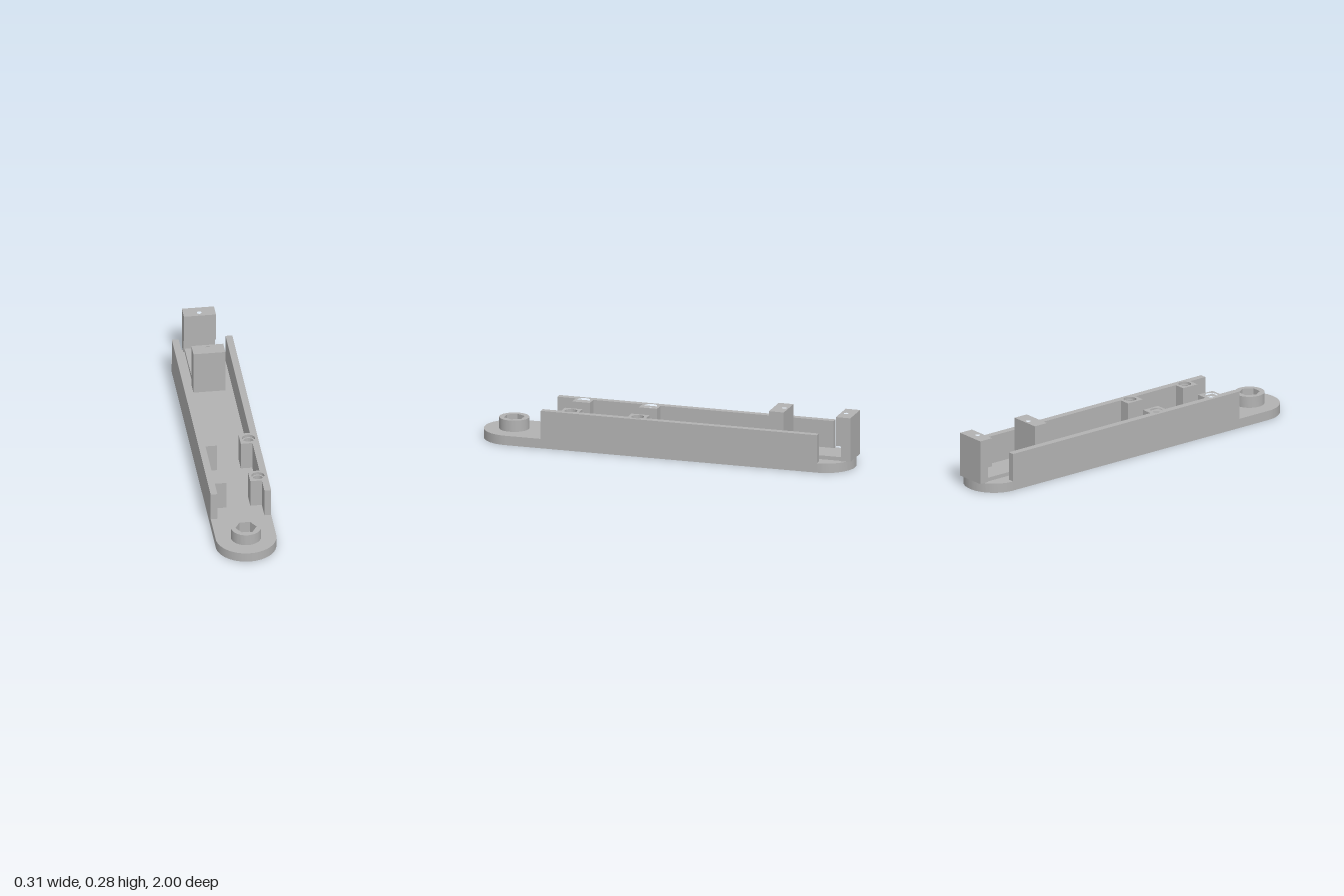
import * as THREE from 'three';
import { toCreasedNormals } from 'three/addons/utils/BufferGeometryUtils.js';

const grey = new THREE.MeshStandardMaterial({ color: 0xb2b2b2 });
grey.name = 'grey plastic';

// Plan outlines use [x, z]; shape y is -z so that extrusion goes upwards.
const outline = (points) => new THREE.Shape(points.map(([x, z]) => new THREE.Vector2(x, -z)));
const rect = (w, z0, z1) => outline([[-w, z0], [w, z0], [w, z1], [-w, z1]]);
const circle = (x, z, r) => new THREE.Path().absarc(x, -z, r, 0, Math.PI * 2, true);

function slab(name, shape, holes, y0, y1) {
  shape.holes.push(...holes);
  const geo = new THREE.ExtrudeGeometry(shape, { depth: y1 - y0, bevelEnabled: false, curveSegments: 32 });
  geo.rotateX(-Math.PI / 2).translate(0, y0, 0);
  const mesh = new THREE.Mesh(toCreasedNormals(geo, Math.PI / 6), grey);
  mesh.name = name;
  return mesh;
}

// Block with a small blind screw hole in its top
function drilledBlock(name, w, z0, z1, y0, y1, holeZ) {
  const group = new THREE.Group();
  const floor = y1 - 0.1;
  group.name = name;
  group.add(
    slab(name + 'Lower', rect(w, z0, z1), [], y0, floor),
    slab(name + 'Upper', rect(w, z0, z1), [circle(0, holeZ, 0.012)], floor, y1)
  );
  return group;
}

export function createModel() {
  const model = new THREE.Group();
  model.name = 'mountingTray';

  const R = 0.157, endZ = 0.843, baseTop = 0.05, wallTop = 0.2;

  // Round-ended base with a bolt hole at each end
  const stadium = new THREE.Shape();
  stadium.absarc(0, endZ, R, 0, Math.PI, false);
  stadium.absarc(0, -endZ, R, Math.PI, Math.PI * 2, false);
  stadium.closePath();
  model.add(slab('base', stadium, [circle(0, -endZ, 0.026), circle(0, endZ, 0.033)], 0, baseTop));

  // Round boss with a hexagonal nut pocket
  const boss = new THREE.Shape().absarc(0, -endZ, 0.078, 0, Math.PI * 2, false);
  const hex = new THREE.Path();
  for (let i = 0; i < 6; i++) {
    const a = (-i * Math.PI) / 3;
    const x = 0.055 * Math.cos(a), y = -endZ + 0.055 * Math.sin(a);
    if (i) hex.lineTo(x, y); else hex.moveTo(x, y);
  }
  hex.closePath();
  model.add(slab('nutBoss', boss, [hex], baseTop, 0.11));

  // Side walls with screw posts, counterbored at the top
  const inner = 0.122, postX = 0.062, holeX = 0.108;
  const posts = [[0.092, 0.19], [0.455, 0.55]];
  for (const [side, s] of [['left', 1], ['right', -1]]) {
    const points = [[s * R, -endZ], [s * inner, -endZ]];
    for (const [a, b] of posts) {
      points.push([s * inner, a], [s * postX, a], [s * postX, b], [s * inner, b]);
    }
    points.push([s * inner, 0.65], [s * R, 0.65]);
    const holes = (r) => posts.map(([a, b]) => circle(s * holeX, (a + b) / 2, r));
    const step = wallTop - 0.015;
    model.add(
      slab(side + 'WallLower', outline(points), holes(0.025), baseTop, step),
      slab(side + 'WallUpper', outline(points), holes(0.033), step, wallTop)
    );
  }

  // Thin bed plate between the two upright mounts
  model.add(slab('bedPlate', rect(0.076, -0.96, -0.63), [circle(0, -endZ, 0.026)], baseTop, 0.07));

  // Upright mounts; the rear one is undercut on its inner side
  model.add(drilledBlock('innerMount', 0.083, -0.64, -0.56, baseTop, 0.284, -0.617));
  model.add(slab('rearMountLeg', rect(0.083, -1, -0.95), [], baseTop, 0.13));
  model.add(drilledBlock('rearMount', 0.083, -1, -0.922, 0.13, 0.284, -0.951));

  return model;
}
